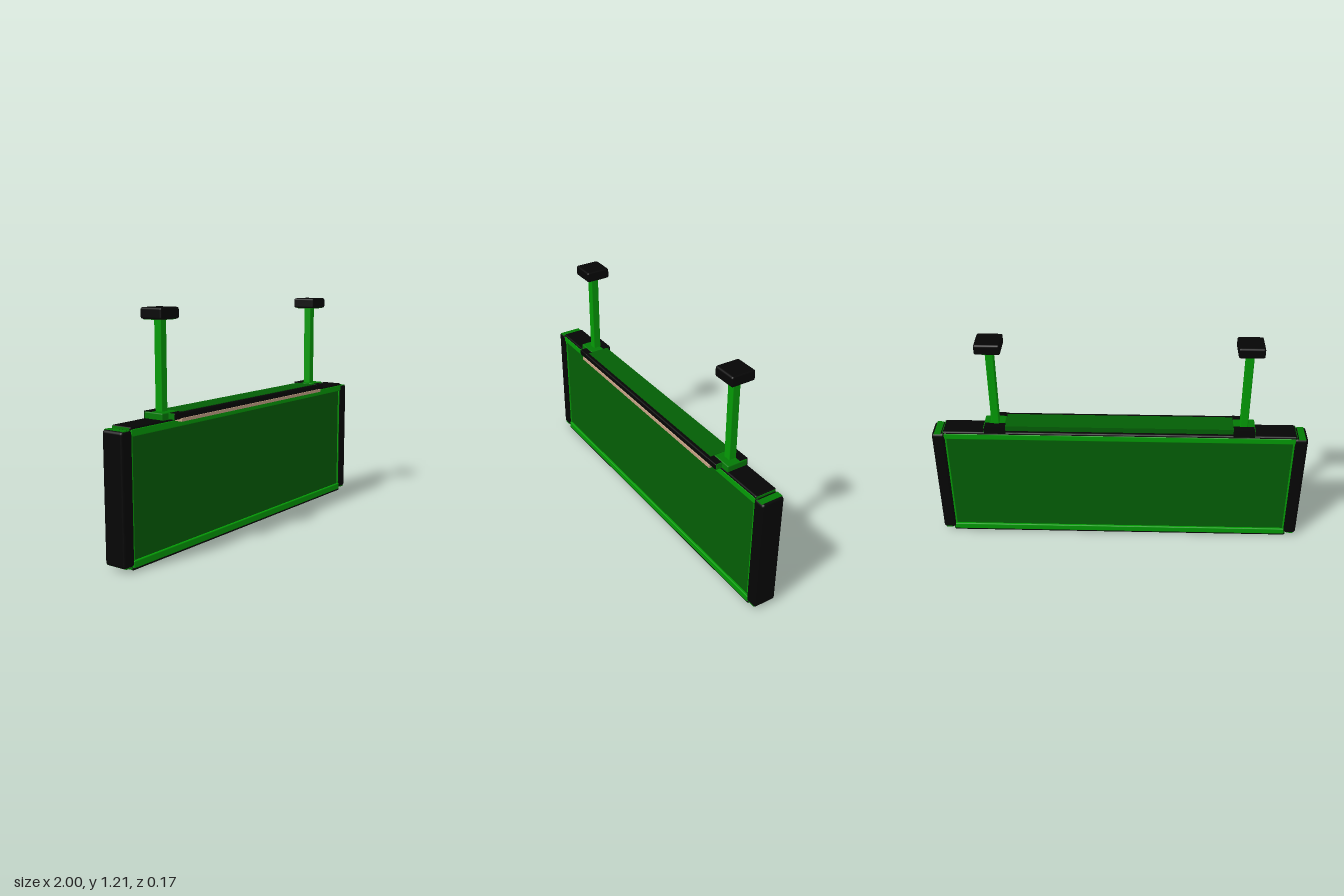
import * as THREE from 'three';
import { RoundedBoxGeometry } from 'three/addons/geometries/RoundedBoxGeometry.js';

const mat = (name, color) => {
  const m = new THREE.MeshStandardMaterial({ color });
  m.name = name;
  return m;
};

export function createModel() {
  const black = mat('black casing', 0x050505);
  const green = mat('bright green trim', 0x039a05);
  const midGreen = mat('mid green fittings', 0x037a05);
  const panelGreen = mat('dark green panel', 0x035e05);
  const tan = mat('tan lamp strip', 0xc4a184);

  const sign = new THREE.Group();
  sign.name = 'hangingSign';

  // Box given by its limits on each axis, with softened edges when r > 0
  const box = (name, [x0, x1], [y0, y1], [z0, z1], material, r = 0, parent = sign) => {
    const size = [x1 - x0, y1 - y0, z1 - z0];
    const geo = r ? new RoundedBoxGeometry(...size, 2, r) : new THREE.BoxGeometry(...size);
    const mesh = new THREE.Mesh(geo, material);
    mesh.name = name;
    mesh.position.set((x0 + x1) / 2, (y0 + y1) / 2, (z0 + z1) / 2);
    parent.add(mesh);
    return mesh;
  };

  // Display panel, slightly recessed on both faces
  box('displayPanel', [-0.95, 0.95], [0.03, 0.65], [-0.068, 0.033], panelGreen);

  // Top and bottom rails: black outside, green lip, green ends
  for (const [name, outer, lip, end] of [
    ['bottomRail', [0, 0.018], [0.01, 0.046], [0.004, 0.022]],
    ['topRail', [0.662, 0.68], [0.634, 0.67], [0.658, 0.676]],
  ]) {
    const rail = new THREE.Group();
    rail.name = name;
    sign.add(rail);
    box(name + 'Casing', [-0.94, 0.94], outer, [-0.078, 0.043], black, 0.008, rail);
    box(name + 'Lip', [-0.935, 0.935], lip, [-0.08, 0.045], green, 0.005, rail);
    for (const s of [-1, 1])
      box(name + 'End', [s * 0.939 - 0.003, s * 0.939 + 0.003], end, [-0.072, 0.037], midGreen, 0, rail);
  }

  for (const s of [-1, 1]) {
    const span = (a, b) => (s > 0 ? [a, b] : [-b, -a]);

    // End cap with narrow green inserts above and below, and inner trim
    const cap = new THREE.Group();
    cap.name = s > 0 ? 'leftEndCap' : 'rightEndCap';
    sign.add(cap);
    box('endCapCasing', span(0.93, 1), [0.02, 0.665], [-0.081, 0.046], black, 0.014, cap);
    for (const y of [0.0205, 0.6645])
      box('endCapInsert', span(0.951, 0.987), [y - 0.002, y + 0.002], [-0.078, 0.043], midGreen, 0, cap);
    box('endCapTrim', span(0.924, 0.935), [0.04, 0.64], [-0.074, 0.039], green, 0, cap);

    // Hanger: bracket on the rail, pole and ceiling foot
    const hanger = new THREE.Group();
    hanger.name = s > 0 ? 'leftHanger' : 'rightHanger';
    sign.add(hanger);
    box('bracket', span(0.605, 0.72), [0.674, 0.713], [-0.076, 0.041], midGreen, 0.006, hanger);
    box('bracketBack', span(0.603, 0.716), [0.676, 0.711], [-0.08, -0.073], black, 0, hanger);
    box('bracketTopPlate', span(0.605, 0.714), [0.709, 0.715], [-0.08, -0.035], black, 0, hanger);
    box('bracketArm', span(0.6, 0.672), [0.678, 0.71], [0.03, 0.079], black, 0.005, hanger);
    box('bracketArmSide', span(0.67, 0.675), [0.68, 0.709], [0.04, 0.076], midGreen, 0, hanger);
    box('pole', span(0.638, 0.68), [0.7, 1.16], [-0.039, 0.004], green, 0.005, hanger);
    box('ceilingFoot', span(0.594, 0.727), [1.155, 1.21], [-0.084, 0.049], black, 0.01, hanger);
    box('ceilingFootUnderside', span(0.606, 0.715), [1.152, 1.158], [-0.072, 0.037], panelGreen, 0, hanger);
  }

  // Lamp housing along the top: green cover, black front, strip along the front
  box('lampHousing', [-0.62, 0.62], [0.676, 0.708], [-0.055, 0.079], black, 0.007);
  box('lampCover', [-0.605, 0.605], [0.682, 0.711], [-0.061, 0.058], panelGreen);
  box('lampStrip', [-0.63, 0.63], [0.666, 0.682], [0.042, 0.085], tan);

  return sign;
}
